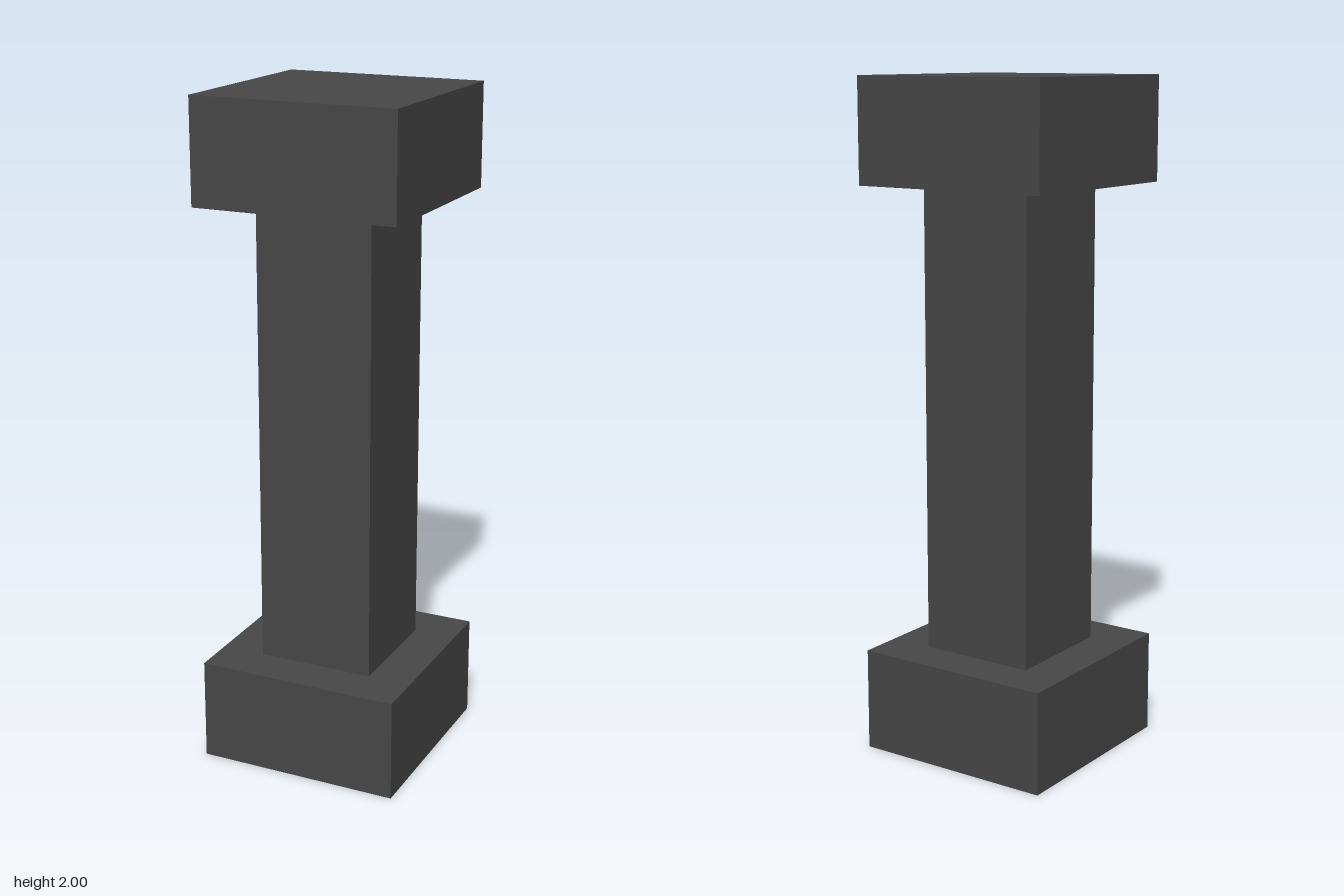
import * as THREE from 'three';

export function createModel() {
  const group = new THREE.Group();
  group.name = 'pillar';
  const darkGrey = new THREE.MeshStandardMaterial({ color: 0x474747 });
  darkGrey.name = 'darkGrey';

  // Square block standing with its underside at the given height
  const addBlock = (name, width, height, bottom) => {
    const mesh = new THREE.Mesh(new THREE.BoxGeometry(width, height, width), darkGrey);
    mesh.name = name;
    mesh.position.y = bottom + height / 2;
    group.add(mesh);
  };

  const blockWidth = 0.615, blockHeight = 0.307, shaftWidth = 0.354;
  addBlock('base', blockWidth, blockHeight, 0);
  addBlock('shaft', shaftWidth, 2 - 2 * blockHeight, blockHeight);
  addBlock('capital', blockWidth, blockHeight, 2 - blockHeight);
  return group;
}
